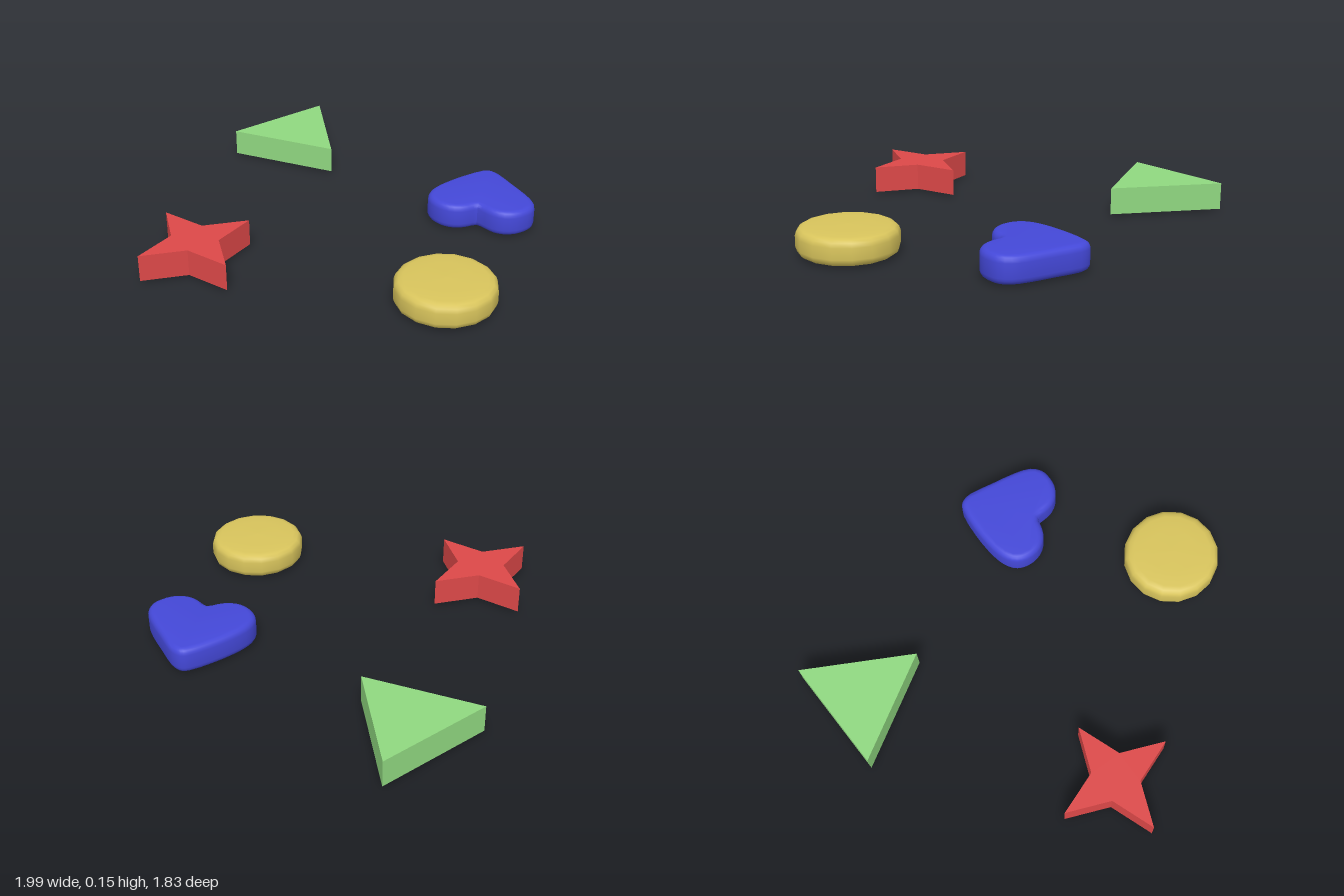
import * as THREE from 'three';
import { toCreasedNormals } from 'three/addons/utils/BufferGeometryUtils.js';

// Corners spaced evenly around a centre, cycling through the given radii
function ring(cx, cz, radii, count, startDeg) {
  return Array.from({ length: count }, (_, i) => {
    const a = THREE.MathUtils.degToRad(startDeg) + (i * 2 * Math.PI) / count;
    const r = radii[i % radii.length];
    return [cx + r * Math.cos(a), cz + r * Math.sin(a)];
  });
}

// Lay an [x, z] outline flat and extrude it upwards from y0
function slab(points, y0, options) {
  const shape = new THREE.Shape(points.map(([x, z]) => new THREE.Vector2(x, -z)));
  return new THREE.ExtrudeGeometry(shape, options).rotateX(-Math.PI / 2).translate(0, y0, 0);
}

export function createModel() {
  const group = new THREE.Group();
  const add = (name, geometry, color) => {
    const mesh = new THREE.Mesh(geometry, new THREE.MeshStandardMaterial({ color }));
    mesh.name = name;
    group.add(mesh);
  };
  const sharp = { depth: 0.135, bevelEnabled: false };

  // Sharp-edged triangle and four-pointed star
  add('triangleBlock', slab(ring(-0.762, -0.596, [0.334], 3, 15.3), 0.011, sharp), 0x90d880);
  add('starBlock', slab(ring(-0.37, 0.633, [0.297, 0.117], 8, 18.2), 0.012, sharp), 0xdc4848);

  // Rounded disc with faintly domed faces
  const half = [[0, 0], [0.12, 0.002], [0.195, 0.006], [0.218, 0.012], [0.233, 0.024], [0.24, 0.045]];
  const profile = [...half, ...half.map(([r, y]) => [r, 0.144 - y]).reverse()];
  const disc = new THREE.LatheGeometry(profile.map(([r, y]) => new THREE.Vector2(r, y)), 16);
  add('discBlock', disc.translate(0.755, 0, 0.19), 0xd8c45c);

  // Heart with soft edges
  const outline = [
    [0.38, -0.845], [0.42, -0.838], [0.53, -0.785], [0.65, -0.725], [0.718, -0.676], [0.744, -0.622],
    [0.74, -0.575], [0.714, -0.516], [0.666, -0.474], [0.612, -0.459], [0.56, -0.465], [0.512, -0.472],
    [0.488, -0.436], [0.457, -0.398], [0.409, -0.37], [0.356, -0.364], [0.297, -0.38], [0.254, -0.414],
    [0.233, -0.463], [0.23, -0.516], [0.243, -0.596], [0.275, -0.703], [0.324, -0.815], [0.35, -0.84],
  ];
  const curve = new THREE.CatmullRomCurve3(outline.map(([x, z]) => new THREE.Vector3(x, 0, z)), true);
  const smooth = curve.getPoints(48).slice(0, -1).map((p) => [p.x, p.z]);
  const heart = slab(smooth, 0.04, {
    depth: 0.069, bevelThickness: 0.032, bevelSize: 0.03, bevelOffset: -0.03, bevelSegments: 4,
  });
  add('heartBlock', toCreasedNormals(heart, THREE.MathUtils.degToRad(50)), 0x4448d8);

  return group;
}
